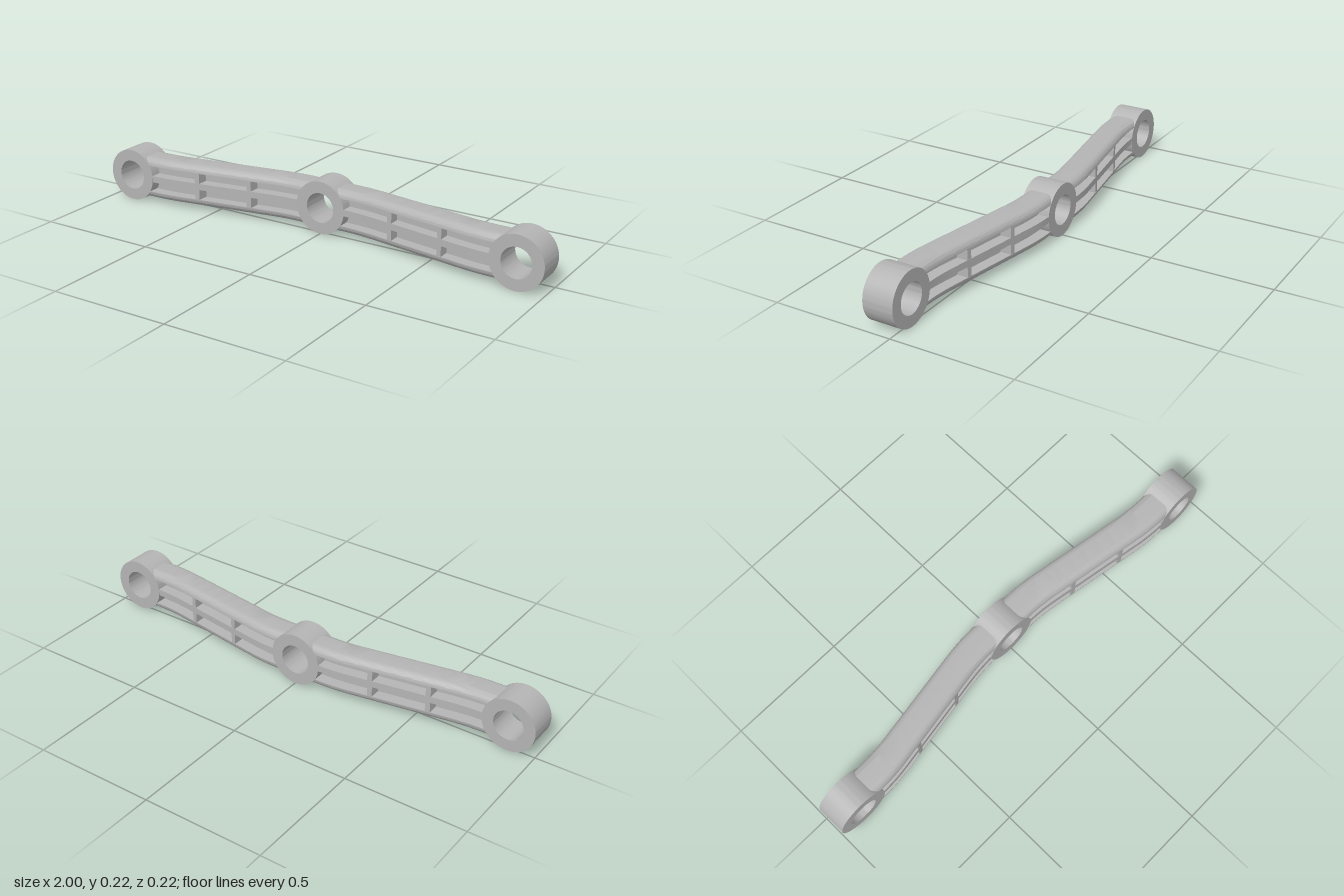
import * as THREE from 'three';
import { toCreasedNormals } from 'three/addons/utils/BufferGeometryUtils.js';

const MID_Y = 0.11;      // height of the bar's centre line
const OFFSET = 0.0455;   // z offset of the bosses, back in the middle, front at the ends
const HALF_DEPTH = 0.0625;
const HALF_HEIGHT = 0.088;

// Gentle S-curve of each arm: flat, ramp, flat
const ramp = (x, a, b) => (x < a ? 0 : x < b ? (x - a) ** 2 / (2 * (b - a)) : x - (a + b) / 2);
const slope = (2 * OFFSET) / 0.55;
const bendZ = (x) => -OFFSET + slope * (ramp(Math.abs(x), 0.1, 0.24) - ramp(Math.abs(x), 0.65, 0.79));

function bend(geometry) {
  const p = geometry.attributes.position;
  for (let i = 0; i < p.count; i++) p.setZ(i, p.getZ(i) + bendZ(p.getX(i)));
  return toCreasedNormals(geometry, 0.5);
}

// Ring boss with a through hole along z
function bossGeometry() {
  const radius = 0.11, hole = 0.062, depth = 0.127;
  const shape = new THREE.Shape().absarc(0, 0, radius, 0, Math.PI * 2, false);
  shape.holes.push(new THREE.Path().absarc(0, 0, hole, 0, Math.PI * 2, true));
  const g = new THREE.ExtrudeGeometry(shape, { depth, bevelEnabled: false, curveSegments: 48 });
  g.translate(0, 0, -depth / 2);
  return toCreasedNormals(g, 0.5);
}

// Arm section: rounded rails above and below, a middle rail and a thin web between them
function armSection() {
  const d = HALF_DEPTH, h = HALF_HEIGHT, r = 0.031, web = 0.016;
  const railY = 0.057, midY = 0.0135;
  const s = new THREE.Shape();
  s.moveTo(d, -railY);
  s.lineTo(web, -railY);
  s.lineTo(web, -midY);
  s.lineTo(d, -midY);
  s.lineTo(d, midY);
  s.lineTo(web, midY);
  s.lineTo(web, railY);
  s.lineTo(d, railY);
  s.absarc(d - r, h - r, r, 0, Math.PI / 2, false);
  s.absarc(-d + r, h - r, r, Math.PI / 2, Math.PI, false);
  s.lineTo(-web, railY);
  s.lineTo(-web, midY);
  s.lineTo(-d, midY);
  s.lineTo(-d, -midY);
  s.lineTo(-web, -midY);
  s.lineTo(-web, -railY);
  s.lineTo(-d, -railY);
  s.absarc(-d + r, -h + r, r, Math.PI, Math.PI * 1.5, false);
  s.absarc(d - r, -h + r, r, Math.PI * 1.5, Math.PI * 2, false);
  return s;
}

function armGeometry(side) {
  const from = 0.065, to = 0.825;
  const g = new THREE.ExtrudeGeometry(armSection(), {
    depth: to - from, steps: 48, bevelEnabled: false, curveSegments: 10,
  });
  g.translate(0, 0, from);
  g.rotateY((side * Math.PI) / 2);
  return bend(g);
}

export function createModel() {
  const group = new THREE.Group();
  const grey = new THREE.MeshStandardMaterial({ color: 0xb4b4b4 });
  grey.name = 'grey';

  const add = (name, geometry, x = 0, z = 0) => {
    const mesh = new THREE.Mesh(geometry, grey);
    mesh.name = name;
    mesh.position.set(x, MID_Y, z);
    group.add(mesh);
  };

  // Three bosses
  const boss = bossGeometry();
  add('centreBoss', boss, 0, -OFFSET);

  for (const side of [-1, 1]) {
    const label = side > 0 ? 'left' : 'right';
    add(`${label}EndBoss`, boss, side * 0.89, OFFSET);
    add(`${label}Arm`, armGeometry(side));

    // Cross ribs dividing the pockets on both faces
    [0.33, 0.565].forEach((x, i) => {
      const rib = new THREE.BoxGeometry(0.02, 0.12, 2 * HALF_DEPTH - 0.001);
      rib.translate(side * x, 0, 0);
      add(`${label}Rib${i + 1}`, bend(rib));
    });
  }
  return group;
}
